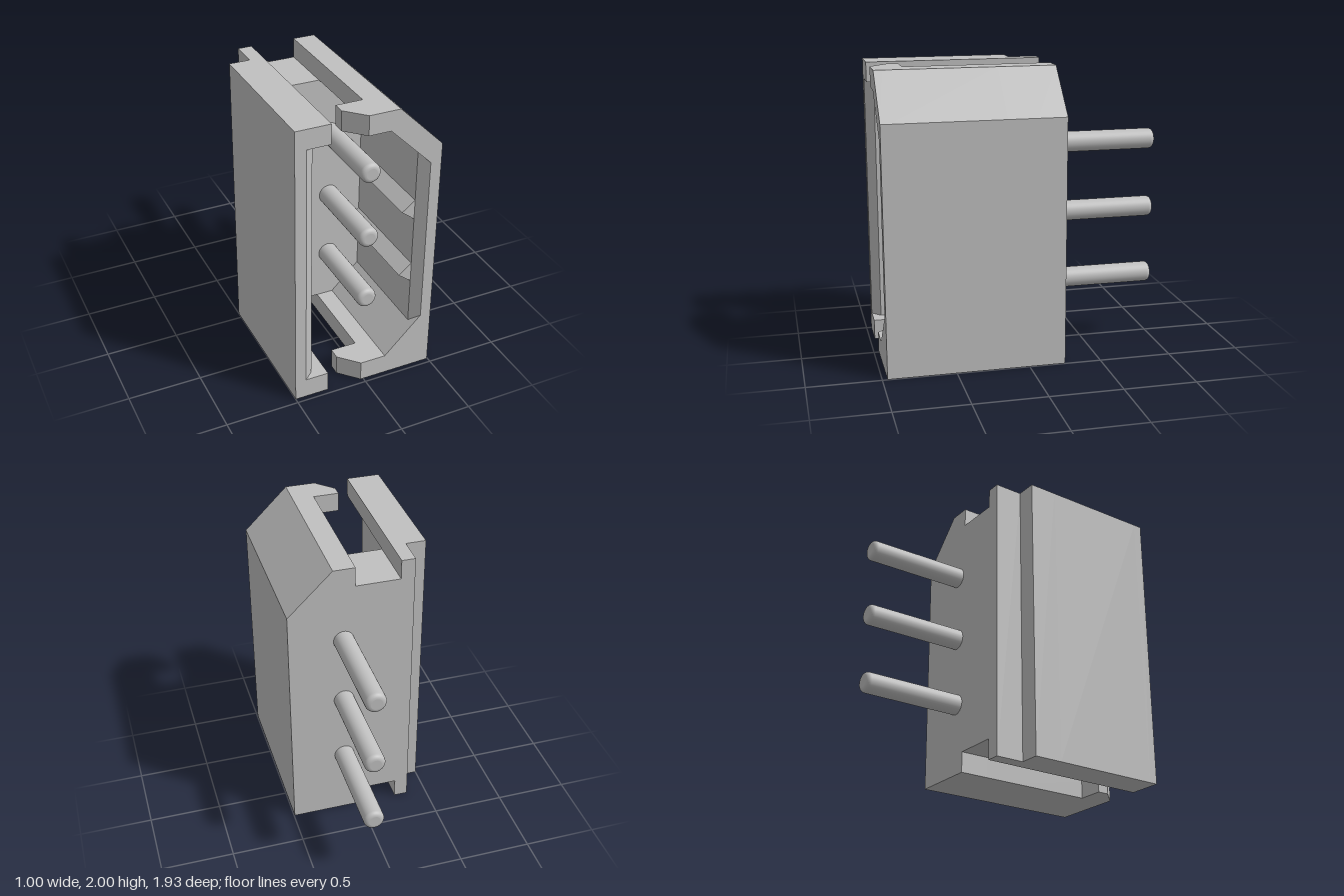
import * as THREE from 'three';

const BACK = -0.25, STEP = -0.05, FLOOR = 0.15, LIP = 0.905, FRONT = 0.965;
const TOP = 1.865, BOTTOM = 0.14; // inner faces of the end walls
const SLOT_L = -0.265, SLOT_R = 0.04;

export function createModel() {
  const group = new THREE.Group();
  const housing = new THREE.MeshStandardMaterial({ color: 0xc0c0c0 });
  housing.name = 'housing grey';

  const add = (name, geometry) => {
    const mesh = new THREE.Mesh(geometry, housing);
    mesh.name = name;
    group.add(mesh);
    return mesh;
  };
  const extrude = (points, depth) => new THREE.ExtrudeGeometry(
    new THREE.Shape(points.map(([x, y]) => new THREE.Vector2(x, y))),
    { depth, bevelEnabled: false });
  // Outline in x,y pushed along z
  const slab = (name, points, z0, z1) =>
    add(name, extrude(points, z1 - z0).translate(0, 0, z0));
  // Outline in x,z pushed along y
  const column = (name, points, y0, y1) =>
    add(name, extrude(points.map(([x, z]) => [x, -z]), y1 - y0)
      .rotateX(-Math.PI / 2).translate(0, y0, 0));

  // Solid base, notched at both ends, with its left back corner stepped in
  const base = (left) => [
    [left, 0], [SLOT_L, 0], [SLOT_L, BOTTOM], [SLOT_R, BOTTOM], [SLOT_R, 0],
    [0.495, 0], [0.495, 1.7], [0.19, 2], [SLOT_R, 2], [SLOT_R, TOP],
    [SLOT_L, TOP], [SLOT_L, 2], [left, 2],
  ];
  slab('baseBack', base(-0.36), BACK, STEP);
  slab('baseFront', base(-0.5), STEP, FLOOR);

  // Left wall with short returns, thinner at the lip
  const leftWall = (inner) => [
    [-0.5, 0], [SLOT_L, 0], [SLOT_L, BOTTOM], [inner, BOTTOM],
    [inner, TOP], [SLOT_L, TOP], [SLOT_L, 2], [-0.5, 2],
  ];
  slab('leftWall', leftWall(-0.36), FLOOR, LIP);
  slab('leftWallLip', leftWall(-0.425), LIP, FRONT);
  column('leftLeadIn', [[-0.425, LIP], [-0.36, LIP], [-0.425, FRONT]], BOTTOM, TOP);

  // Right wall with sloped inner corners; the deeper part carries two key ribs
  const rightWall = (inner, y0, y1, ribs) => [
    [SLOT_R, 0], [0.495, 0], [0.495, 1.7], [0.19, 2], [SLOT_R, 2],
    [SLOT_R, TOP], [0.13, TOP], [inner, y1],
    ...ribs.flatMap((y) => [[inner, y + 0.07], [0.27, y], [inner, y - 0.07]]),
    [inner, y0], [0.16, BOTTOM], [SLOT_R, BOTTOM],
  ];
  slab('rightWallWithKeys', rightWall(0.36, 0.34, 1.64, [1.22, 0.735]), FLOOR, LIP);
  slab('rightWallLip', rightWall(0.42, 0.4, 1.58, []), LIP, FRONT);
  column('rightLeadIn', [[0.42, LIP], [0.42, FRONT], [0.36, LIP]], 0.34, 1.64);

  // Latch hooks at the front of both end slots
  const hook = [
    [SLOT_R, 0.76], [-0.14, 0.76], [-0.14, 0.84], [-0.02, FRONT], [SLOT_R, FRONT],
  ];
  column('bottomHook', hook, 0, BOTTOM);
  column('topHook', hook, TOP, 2);

  // Contact pins with rounded ends, running through the base
  const r = 0.07, f = 0.03, z0 = -0.965, z1 = 0.77;
  const profile = [new THREE.Vector2(0, z0), new THREE.Vector2(r - f - 0.002, z0)];
  for (const [centre, start] of [[z0 + f, -Math.PI / 2], [z1 - f, 0]]) {
    for (let i = 0; i <= 5; i++) {
      const a = start + (i / 5) * Math.PI / 2;
      profile.push(new THREE.Vector2(r - f + f * Math.cos(a), centre + f * Math.sin(a)));
    }
  }
  profile.push(new THREE.Vector2(r - f - 0.002, z1), new THREE.Vector2(0, z1));
  const pin = new THREE.LatheGeometry(profile, 32).rotateX(Math.PI / 2);
  for (const y of [0.495, 0.98, 1.465]) add('pin', pin).position.set(0.12, y, 0);

  return group;
}
